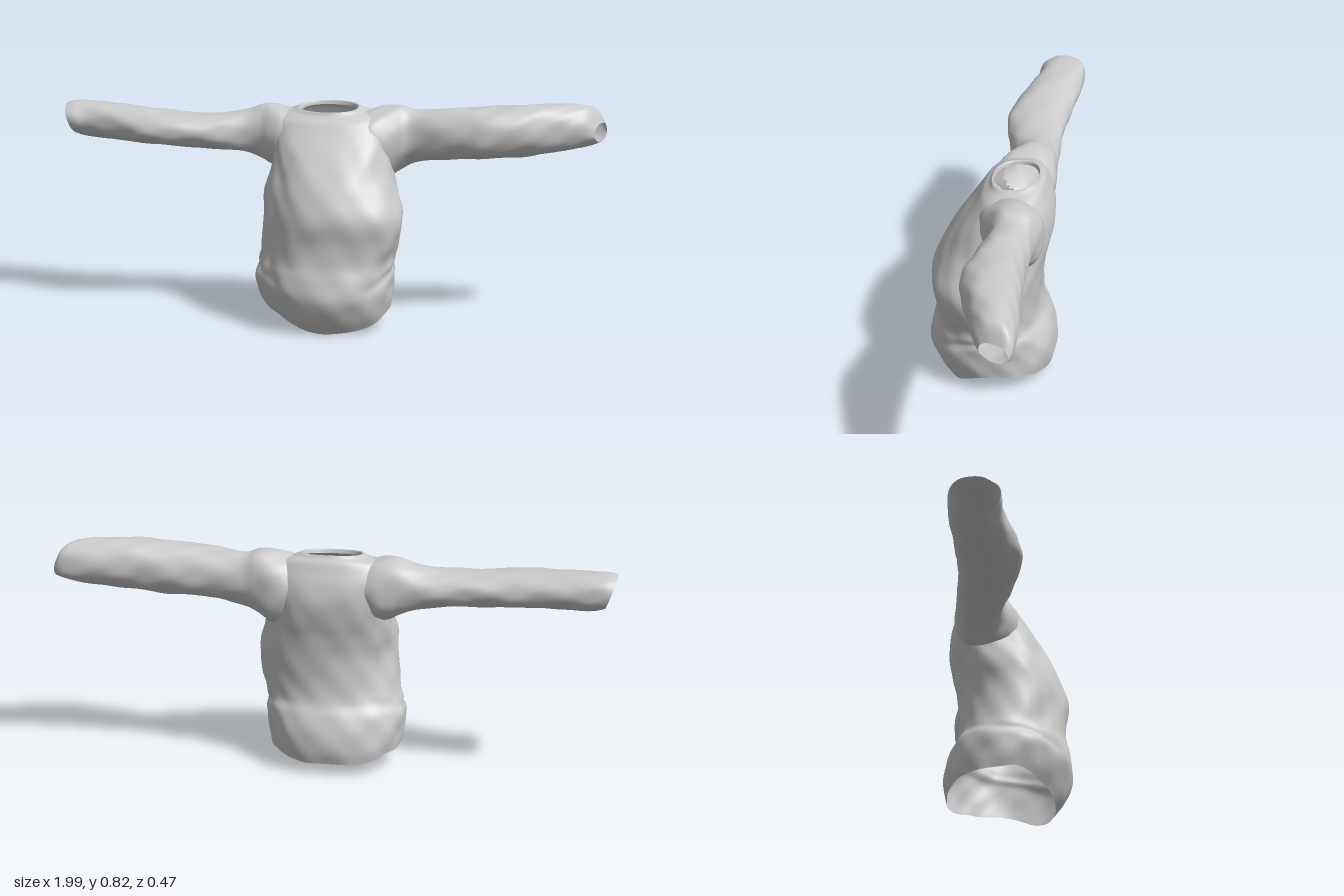
import * as THREE from 'three';

const { clamp, smoothstep } = THREE.MathUtils;
const material = new THREE.MeshStandardMaterial({ color: 0xcccccc, roughness: 0.9, side: THREE.DoubleSide });

// Body cross-sections: [y, xMin, xMax, zBack, zFront]
const BODY = [
  [0.00, -0.245, 0.235, -0.22, 0.165],
  [0.05, -0.255, 0.243, -0.23, 0.20],
  [0.13, -0.26, 0.25, -0.228, 0.23],
  [0.20, -0.255, 0.253, -0.212, 0.222],
  [0.26, -0.24, 0.252, -0.186, 0.21],
  [0.33, -0.232, 0.272, -0.176, 0.21],
  [0.42, -0.222, 0.285, -0.18, 0.22],
  [0.50, -0.222, 0.262, -0.194, 0.195],
  [0.57, -0.211, 0.238, -0.21, 0.16],
  [0.64, -0.203, 0.222, -0.215, 0.115],
  [0.70, -0.205, 0.212, -0.206, 0.07],
  [0.745, -0.20, 0.20, -0.19, 0.04],
  [0.775, -0.175, 0.175, -0.178, 0.022],
  [0.789, -0.135, 0.135, -0.165, 0.013],
  [0.80, -0.107, 0.107, -0.158, 0.008],
  [0.785, -0.10, 0.10, -0.154, 0.003],
];

// Sleeve cross-sections, shoulder to cuff: [x, yMin, yMax, zBack, zFront]
const LEFT = [
  [0.12, 0.58, 0.770, -0.185, 0.030],
  [0.165, 0.55, 0.784, -0.20, 0.036],
  [0.21, 0.535, 0.797, -0.200, 0.014],
  [0.26, 0.567, 0.80, -0.187, -0.012],
  [0.31, 0.592, 0.785, -0.176, -0.024],
  [0.40, 0.607, 0.79, -0.175, 0.0],
  [0.50, 0.615, 0.798, -0.176, 0.02],
  [0.58, 0.618, 0.805, -0.18, 0.03],
  [0.70, 0.63, 0.815, -0.186, 0.008],
  [0.80, 0.642, 0.816, -0.195, -0.025],
  [0.90, 0.655, 0.812, -0.203, -0.048],
  [0.95, 0.668, 0.80, -0.202, -0.064],
  [0.98, 0.68, 0.748, -0.188, -0.088],
];
const RIGHT = [
  [-0.12, 0.59, 0.770, -0.185, 0.030],
  [-0.165, 0.565, 0.782, -0.20, 0.032],
  [-0.21, 0.568, 0.79, -0.199, 0.008],
  [-0.25, 0.588, 0.785, -0.195, -0.016],
  [-0.31, 0.608, 0.765, -0.19, -0.022],
  [-0.40, 0.62, 0.752, -0.186, 0.002],
  [-0.50, 0.626, 0.75, -0.186, 0.022],
  [-0.60, 0.63, 0.755, -0.19, 0.034],
  [-0.70, 0.635, 0.763, -0.20, 0.018],
  [-0.80, 0.64, 0.77, -0.21, -0.015],
  [-0.90, 0.642, 0.775, -0.22, -0.042],
  [-0.95, 0.647, 0.775, -0.222, -0.044],
  [-0.98, 0.655, 0.768, -0.215, -0.048],
];

// Smooth interpolation between the rows of a section table
function section(rows, f) {
  const i = Math.min(Math.floor(f), rows.length - 2), t = f - i;
  const row = k => rows[clamp(k, 0, rows.length - 1)];
  return rows[0].map((_, c) => {
    const [p0, p1, p2, p3] = [row(i - 1)[c], row(i)[c], row(i + 1)[c], row(i + 2)[c]];
    const m1 = (p2 - p0) / 2, m2 = (p3 - p1) / 2, d = p1 - p2;
    return p1 + m1 * t + (-3 * d - 2 * m1 - m2) * t * t + (2 * d + m1 + m2) * t * t * t;
  });
}

// Open tube through oval sections; place() turns (s, a, b, angle) into a point
function loft(name, rows, { steps, sides, power, fold, place, flip = false, skip = () => false }) {
  const points = [], index = [], rings = (rows.length - 1) * steps;
  for (let i = 0; i <= rings; i++) {
    const [s, a0, a1, b0, b1] = section(rows, i / steps);
    const bend = v => Math.sign(v) * Math.abs(v) ** (2 / power(s));
    for (let j = 0; j < sides; j++) {
      const t = j / sides * Math.PI * 2, k = 1 + fold(s, t);
      points.push(place(s, (a0 + a1) / 2 + (a1 - a0) / 2 * k * bend(Math.cos(t)),
        (b0 + b1) / 2 + (b1 - b0) / 2 * k * bend(Math.sin(t)), t));
    }
  }
  for (let i = 0; i < rings; i++) for (let j = 0; j < sides; j++) {
    const a = i * sides + j, b = i * sides + (j + 1) % sides, c = a + sides, d = b + sides;
    if (skip(points[a].clone().lerp(points[d], 0.5))) continue;
    if (flip) index.push(a, b, c, b, d, c);
    else index.push(a, c, b, b, c, d);
  }
  const geometry = new THREE.BufferGeometry().setFromPoints(points);
  geometry.setIndex(index);
  geometry.computeVertexNormals();
  const mesh = new THREE.Mesh(geometry, material);
  mesh.name = name;
  return mesh;
}

export function createModel() {
  const group = new THREE.Group();
  group.name = 'sweater';
  const bump = (v, centre, width) => Math.exp(-(((v - centre) / width) ** 2));

  // Torso: hem rising at the sides, creased hips, squarer shoulders, open armholes
  group.add(loft('body', BODY, {
    steps: 6, sides: 96,
    power: y => 2.2 + 0.6 * bump(y, 0.68, 0.09),
    fold: (y, t) => {
      const soft = smoothstep(0.76 - y, 0, 0.15), side = Math.cos(t) ** 2;
      const hipCrease = bump(y, 0.2 - 0.05 * Math.sin(t), 0.022) * side;
      const lean = 0.03 * bump(t, 0.75, 0.4) - 0.08 * bump(t, 2.45, 0.45);
      const wrinkles = 0.010 * Math.sin(5 * t + 13 * y) + 0.008 * Math.sin(3 * t - 19 * y + 1)
        + 0.007 * Math.sin(8 * t + 31 * y) + 0.006 * Math.sin(13 * t - 37 * y);
      return soft * (wrinkles + lean) - 0.03 * hipCrease;
    },
    place: (y, x, z, t) => {
      const front = Math.max(0, Math.sin(t)), back = Math.max(0, -Math.sin(t));
      const side = (Math.cos(t) - 0.25 * front) ** 2;
      const lift = 0.075 * side + 0.04 * back * back + 0.003 * (1 + Math.sin(7 * t));
      const collarDip = 0.009 * (1 + Math.sin(t)) * smoothstep(y, 0.74, 0.79);
      return new THREE.Vector3(x, y + lift * (1 - smoothstep(y, 0, 0.32)) - collarDip, z);
    },
    skip: p => Math.abs(p.x) > 0.16 && ((p.y - 0.68) / 0.085) ** 2 + ((p.z + 0.09) / 0.085) ** 2 < 1,
  }));

  // Sleeves: flared into the shoulder, soft wrinkles and slanted cuffs
  const sleeve = {
    steps: 5, sides: 48, power: () => 2.2,
    fold: (x, t) => 0.018 * Math.sin(3 * t + 16 * x) + 0.014 * Math.sin(5 * t - 27 * x)
      + 0.012 * Math.sin(7 * t + 45 * x),
  };
  group.add(loft('leftSleeve', LEFT, {
    ...sleeve, flip: true,
    place: (x, y, z) => new THREE.Vector3(x - 0.4 * (z + 0.155) * smoothstep(x, 0.8, 0.96), y, z),
  }));
  group.add(loft('rightSleeve', RIGHT, {
    ...sleeve,
    place: (x, y, z) => new THREE.Vector3(x - 0.35 * (y - 0.71) * smoothstep(-x, 0.85, 0.975), y, z),
  }));
  return group;
}
